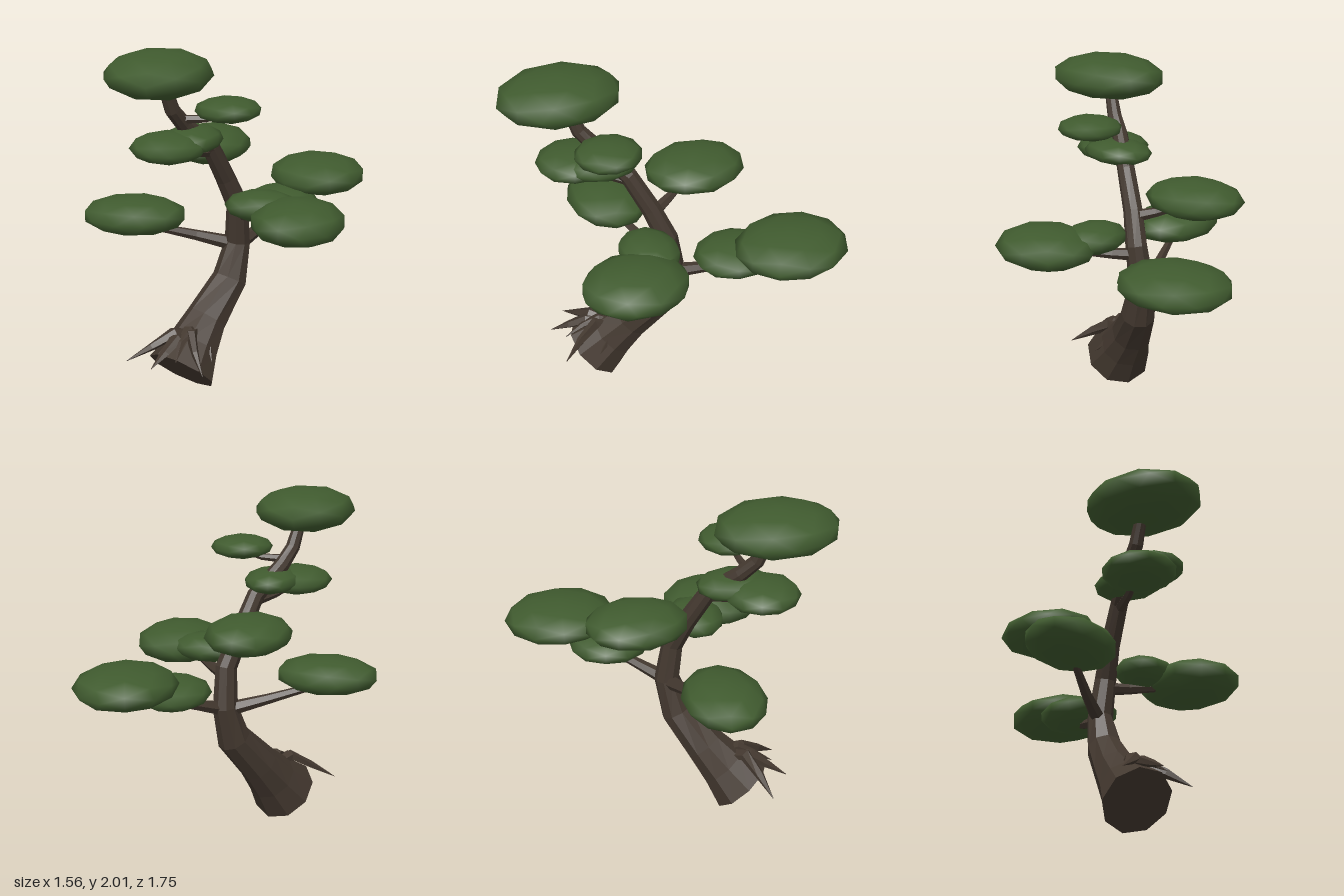
import * as THREE from 'three';

const bark = new THREE.MeshStandardMaterial({ color: 0x43382f });
bark.name = 'bark brown';
const leaf = new THREE.MeshStandardMaterial({ color: 0x405b2f });
leaf.name = 'leaf green';

// Faceted, capped limb through points [x, y, z, radius]
function limb(name, points, sides, flatten = 1) {
  const p = points.map(([x, y, z]) => new THREE.Vector3(x, y, z));
  const last = p.length - 1;
  const span = p[last].clone().sub(p[0]);
  const ref = Math.abs(span.x) < Math.abs(span.y) ? new THREE.Vector3(1, 0, 0) : new THREE.Vector3(0, 1, 0);
  const pos = [];
  const index = [];
  points.forEach((pt, i) => {
    const t = p[Math.min(i + 1, last)].clone().sub(p[Math.max(i - 1, 0)]).normalize();
    const u = ref.clone().cross(t).normalize();
    const v = t.clone().cross(u);
    for (let s = 0; s < sides; s++) {
      const a = (s / sides) * Math.PI * 2;
      const q = p[i].clone()
        .addScaledVector(u, Math.cos(a) * pt[3])
        .addScaledVector(v, Math.sin(a) * pt[3] * flatten);
      pos.push(q.x, q.y, q.z);
      if (i < last) {
        const n = (s + 1) % sides;
        const a0 = i * sides + s, a1 = i * sides + n;
        index.push(a0, a1, a1 + sides, a0, a1 + sides, a0 + sides);
      }
    }
  });
  // End caps
  const top = last * sides;
  for (let s = 1; s < sides - 1; s++) {
    index.push(0, s + 1, s, top, top + s, top + s + 1);
  }
  const indexed = new THREE.BufferGeometry();
  indexed.setAttribute('position', new THREE.Float32BufferAttribute(pos, 3));
  indexed.setIndex(index);
  const geo = indexed.toNonIndexed();
  geo.computeVertexNormals();
  const mesh = new THREE.Mesh(geo, bark);
  mesh.name = name;
  return mesh;
}

// Smooth low-poly leaf cushion: centre and half sizes
function pad(name, [x, y, z], [rx, ry, rz], turn) {
  const geo = new THREE.IcosahedronGeometry(1, 1);
  geo.rotateY(turn);
  // Fit to the exact half sizes
  geo.computeBoundingBox();
  const m = geo.boundingBox.max;
  geo.scale(rx / m.x, ry / m.y, rz / m.z);
  const mesh = new THREE.Mesh(geo, leaf);
  mesh.name = name;
  mesh.position.set(x, y, z);
  return mesh;
}

export function createModel() {
  const tree = new THREE.Group();
  tree.name = 'windsweptTree';

  // Leaning trunk with a flared, tilted foot
  tree.add(limb('trunk', [
    [-0.18, 0.13, 0.395, 0.2],
    [-0.125, 0.25, 0.295, 0.152],
    [-0.065, 0.375, 0.195, 0.122],
    [0.05, 0.575, 0.055, 0.102],
    [0.087, 0.79, 0.0, 0.075],
    [0.09, 1.02, 0.035, 0.064],
    [0.03, 1.2, 0.105, 0.057],
    [-0.04, 1.41, 0.21, 0.052],
    [-0.165, 1.57, 0.355, 0.046],
    [-0.21, 1.66, 0.43, 0.042],
    [-0.245, 1.82, 0.49, 0.034],
  ], 9));

  // Torn roots hanging over the front of the foot
  const roots = [
    [[-0.13, 0.32, 0.3, 0.05], [-0.22, 0.36, 0.4, 0.045], [-0.34, 0.29, 0.45, 0.03], [-0.48, 0.21, 0.49, 0.002]],
    [[-0.14, 0.32, 0.32, 0.05], [-0.2, 0.34, 0.44, 0.045], [-0.25, 0.29, 0.53, 0.03], [-0.31, 0.235, 0.63, 0.002]],
    [[-0.1, 0.33, 0.3, 0.05], [-0.12, 0.35, 0.41, 0.045], [-0.08, 0.29, 0.52, 0.03], [-0.02, 0.21, 0.64, 0.002]],
    [[-0.1, 0.33, 0.28, 0.04], [-0.14, 0.375, 0.38, 0.035], [-0.17, 0.33, 0.47, 0.025], [-0.18, 0.26, 0.58, 0.002]],
    [[-0.08, 0.3, 0.26, 0.05], [-0.03, 0.28, 0.36, 0.03], [0.0, 0.21, 0.43, 0.002]],
  ];
  roots.forEach((r, i) => tree.add(limb('root' + (i + 1), r, 5, 0.7)));

  // Branches reaching into the cushions
  const branches = [
    [[0.08, 0.77, 0, 0.045], [-0.15, 0.835, 0.06, 0.031], [-0.36, 0.895, 0.13, 0.022], [-0.48, 0.95, 0.17, 0.012]],
    [[0.09, 0.77, 0.01, 0.045], [0.2, 0.83, -0.13, 0.033], [0.32, 0.895, -0.28, 0.024], [0.47, 1.0, -0.5, 0.014]],
    [[0.09, 0.97, 0.03, 0.04], [0.2, 0.985, 0.13, 0.03], [0.33, 1.01, 0.27, 0.022], [0.46, 1.05, 0.38, 0.014]],
    [[0.04, 1.17, 0.1, 0.038], [-0.02, 1.21, -0.03, 0.028], [-0.1, 1.28, -0.2, 0.018]],
    [[-0.03, 1.38, 0.2, 0.034], [-0.13, 1.4, 0.33, 0.025], [-0.24, 1.45, 0.46, 0.015]],
    [[-0.18, 1.6, 0.38, 0.026], [-0.04, 1.605, 0.375, 0.02], [0.08, 1.635, 0.375, 0.013]],
  ];
  branches.forEach((b, i) => tree.add(limb('branch' + (i + 1), b, 6)));

  // Leaf cushions
  const pads = [
    ['crown', [-0.265, 1.877, 0.517], [0.295, 0.123, 0.355]],
    ['smallUpper', [0.083, 1.662, 0.375], [0.172, 0.065, 0.187]],
    ['frontUpper', [-0.23, 1.463, 0.46], [0.205, 0.08, 0.212]],
    ['innerUpper', [-0.115, 1.482, 0.33], [0.163, 0.07, 0.205]],
    ['backUpper', [-0.11, 1.31, -0.228], [0.245, 0.103, 0.283]],
    ['rightLower', [-0.482, 0.98, 0.17], [0.297, 0.105, 0.232]],
    ['leftFrontLower', [0.468, 1.053, 0.388], [0.252, 0.115, 0.305]],
    ['leftInnerLower', [0.25, 1.08, 0.215], [0.21, 0.083, 0.172]],
    ['leftBackLower', [0.503, 1.062, -0.543], [0.275, 0.108, 0.33]],
    ['backInnerLower', [0.31, 0.955, -0.29], [0.21, 0.088, 0.235]],
  ];
  pads.forEach(([n, c, s], i) => tree.add(pad(n + 'Foliage', c, s, i * 0.9)));

  return tree;
}
